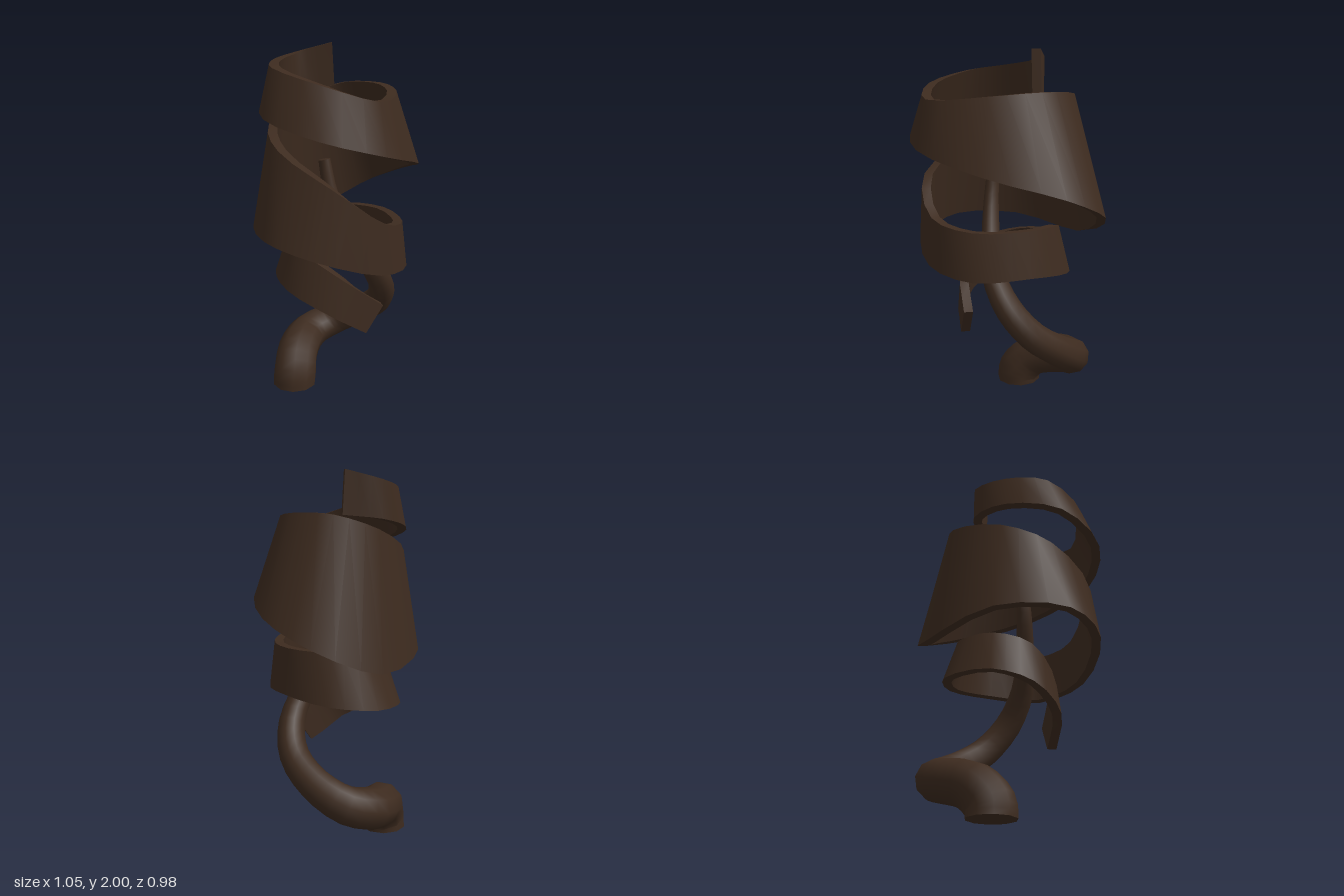
import * as THREE from 'three';
import { toCreasedNormals } from 'three/addons/utils/BufferGeometryUtils.js';

const V = (x, y, z) => new THREE.Vector3(x, y, z);

// Skins a list of equal-length rings and closes both ends
function loft(rings, crease) {
  const n = rings[0].length, last = rings.length - 1;
  const pos = rings.flat().flatMap((p) => [p.x, p.y, p.z]);
  const idx = [];
  for (let i = 0; i < last; i++) {
    for (let k = 0; k < n; k++) {
      const a = i * n + k, b = i * n + ((k + 1) % n);
      idx.push(a, b, b + n, a, b + n, a + n);
    }
  }
  for (let k = 1; k < n - 1; k++) {
    idx.push(0, k + 1, k);
    idx.push(last * n, last * n + k, last * n + k + 1);
  }
  const geo = new THREE.BufferGeometry();
  geo.setAttribute('position', new THREE.Float32BufferAttribute(pos, 3));
  geo.setIndex(idx);
  return toCreasedNormals(geo, crease);
}

// Lower and upper outer edges of the spiral band, about eight stations a turn
const lowerEdge = [
  [0, 0.45, 0.27], [-0.2, 0.58, 0.2], [-0.33, 0.68, -0.02], [-0.28, 0.73, -0.24],
  [0, 0.76, -0.385], [0.24, 0.79, -0.27], [0.34, 0.82, 0], [0.25, 0.81, 0.3],
  [-0.03, 0.85, 0.44], [-0.39, 0.97, 0.35], [-0.525, 1.03, 0.1], [-0.38, 1.03, -0.27],
  [0.06, 0.98, -0.485], [0.43, 1.13, -0.39], [0.525, 1.26, -0.1], [0.34, 1.37, 0.27],
  [-0.05, 1.48, 0.49], [-0.37, 1.57, 0.39], [-0.5, 1.65, 0.08], [-0.34, 1.71, -0.19],
  [-0.1, 1.75, -0.28], [0.085, 1.77, -0.18],
].map((p) => V(...p));
const upperEdge = [
  [0.1, 0.6, 0.29], [-0.12, 0.77, 0.22], [-0.27, 0.92, 0], [-0.21, 0.97, -0.2],
  [0, 1.0, -0.3], [0.2, 1.06, -0.23], [0.31, 1.07, 0], [0.22, 1.07, 0.29],
  [0, 1.12, 0.43], [-0.28, 1.32, 0.37], [-0.41, 1.48, 0.06], [-0.32, 1.58, -0.2],
  [0, 1.7, -0.37], [0.23, 1.77, -0.3], [0.32, 1.78, -0.06], [0.23, 1.76, 0.2],
  [-0.05, 1.74, 0.43], [-0.31, 1.82, 0.32], [-0.42, 1.89, 0.04], [-0.3, 1.92, -0.17],
  [-0.1, 1.95, -0.28], [0.07, 2.0, -0.18],
].map((p) => V(...p));

function ribbonGeometry(thickness = 0.05) {
  const low = new THREE.CatmullRomCurve3(lowerEdge);
  const high = new THREE.CatmullRomCurve3(upperEdge);
  const steps = (lowerEdge.length - 1) * 3;
  const rings = [];
  for (let i = 0; i <= steps; i++) {
    const t = i / steps;
    const dir = low.getTangent(t).add(high.getTangent(t));
    const inward = V(-dir.z, 0, dir.x).setLength(thickness);
    const a = low.getPoint(t), b = high.getPoint(t);
    rings.push([a, b, b.clone().add(inward), a.clone().add(inward)]);
  }
  return loft(rings, 0.7);
}

// Stem stations: x, y, z, radius
const stemPath = [
  [-0.2, 0, -0.19, 0.13], [-0.19, 0.07, -0.195, 0.13], [-0.13, 0.165, -0.26, 0.125],
  [0.02, 0.215, -0.365, 0.115], [0.18, 0.265, -0.345, 0.105], [0.28, 0.36, -0.2, 0.092],
  [0.3, 0.48, -0.03, 0.082], [0.24, 0.63, 0.085, 0.075], [0.12, 0.81, 0.125, 0.065],
  [0, 1.0, 0.085, 0.052], [-0.08, 1.2, 0.045, 0.042], [-0.105, 1.4, 0.015, 0.033],
];

function stemGeometry(sides = 10) {
  const curve = new THREE.CatmullRomCurve3(stemPath.map((p) => V(p[0], p[1], p[2])));
  curve.getPointAt = curve.getPoint; // keep stations and radii in step
  curve.getTangentAt = curve.getTangent;
  const spans = stemPath.length - 1, steps = spans * 3;
  const { normals, binormals } = curve.computeFrenetFrames(steps);
  const rings = [];
  for (let i = 0; i <= steps; i++) {
    const s = (i / steps) * spans, j = Math.min(Math.floor(s), spans - 1);
    const r = THREE.MathUtils.lerp(stemPath[j][3], stemPath[j + 1][3], s - j);
    const c = curve.getPoint(i / steps);
    rings.push(Array.from({ length: sides }, (_, k) => {
      const a = (k / sides) * Math.PI * 2;
      const p = c.clone().addScaledVector(normals[i], Math.cos(a) * r).addScaledVector(binormals[i], Math.sin(a) * r);
      if (i === 0) p.y = 0; // level foot
      return p;
    }));
  }
  return loft(rings, 1.0);
}

export function createModel() {
  const group = new THREE.Group();
  group.name = 'spiralSculpture';
  const darkBrown = new THREE.MeshStandardMaterial({ color: 0x3d2b1f });
  darkBrown.name = 'dark brown';

  // Tapered twisting stem
  const stem = new THREE.Mesh(stemGeometry(), darkBrown);
  stem.name = 'stem';
  group.add(stem);

  // Wide band winding around the stem
  const ribbon = new THREE.Mesh(ribbonGeometry(), darkBrown);
  ribbon.name = 'spiralRibbon';
  group.add(ribbon);
  return group;
}
